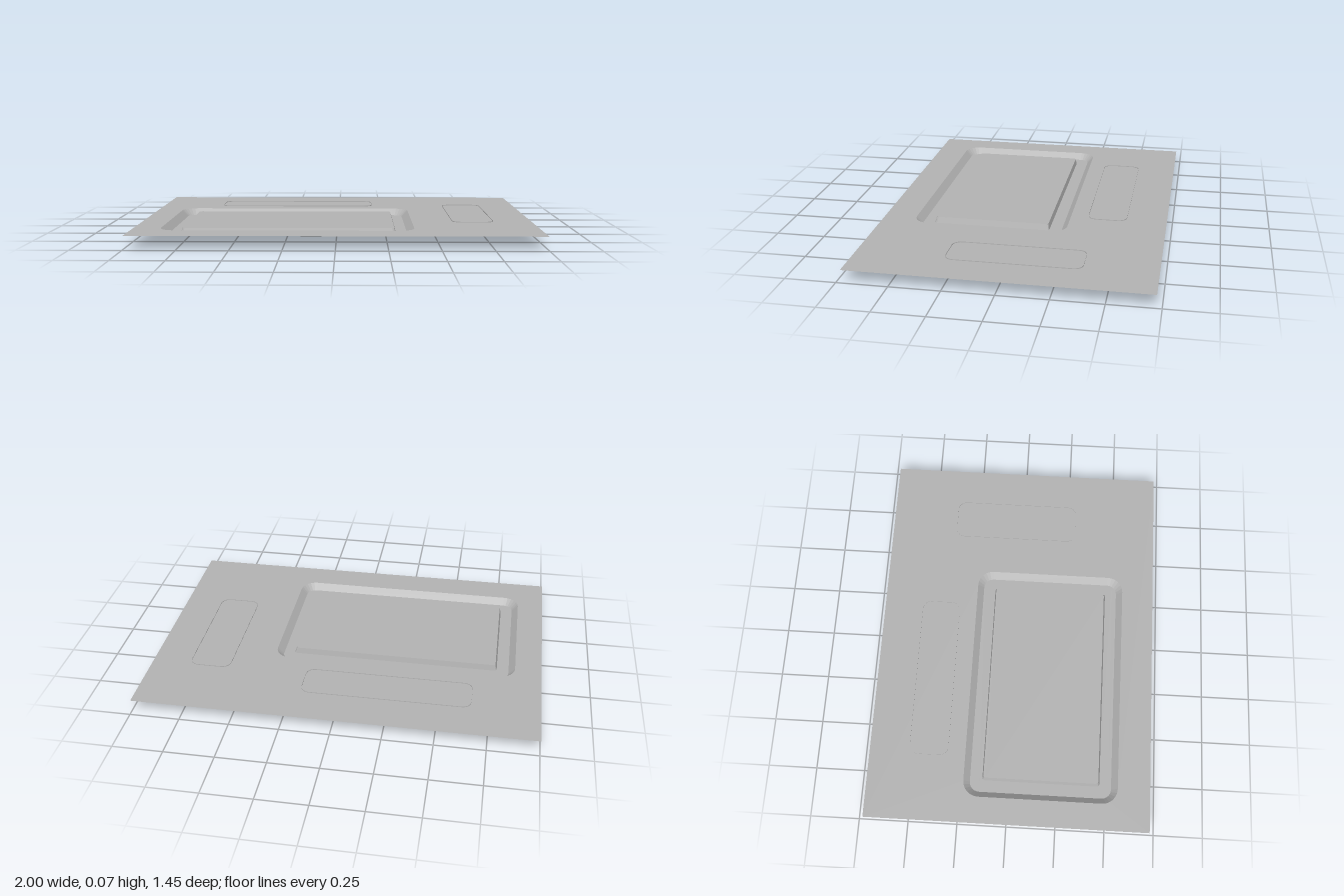
import * as THREE from 'three';

const SHEET_Y = 0.066;

const grey = new THREE.MeshStandardMaterial({ color: 0xb2b2b2, side: THREE.DoubleSide, flatShading: true });
grey.name = 'panelGrey';

// Rounded rectangle as Vector2 points in the ground plane (x, z)
function roundedRect(x0, x1, z0, z1, r, segments = 6) {
  const centres = [[x1 - r, z1 - r], [x0 + r, z1 - r], [x0 + r, z0 + r], [x1 - r, z0 + r]];
  const points = [];
  centres.forEach(([cx, cz], corner) => {
    for (let i = 0; i <= segments; i++) {
      const a = (corner + i / segments) * Math.PI / 2;
      points.push(new THREE.Vector2(cx + r * Math.cos(a), cz + r * Math.sin(a)));
    }
  });
  return points;
}

function rect(x0, x1, z0, z1) {
  return [[x1, z1], [x0, z1], [x0, z0], [x1, z0]].map(([x, z]) => new THREE.Vector2(x, z));
}

// Walls joining stacked loops, listed from low to high
function walls(levels) {
  const pos = [];
  for (let l = 0; l < levels.length - 1; l++) {
    const [low, yLow] = levels[l], [high, yHigh] = levels[l + 1];
    for (let i = 0; i < low.length; i++) {
      const j = (i + 1) % low.length;
      const a = [low[i].x, yLow, low[i].y], b = [low[j].x, yLow, low[j].y];
      const c = [high[j].x, yHigh, high[j].y], d = [high[i].x, yHigh, high[i].y];
      pos.push(...a, ...d, ...c, ...a, ...c, ...b);
    }
  }
  const geo = new THREE.BufferGeometry();
  geo.setAttribute('position', new THREE.Float32BufferAttribute(pos, 3));
  geo.computeVertexNormals();
  return geo;
}

// Flat horizontal sheet, facing down unless faceUp is set
function sheet(outline, y, holes = [], faceUp = true) {
  const shape = new THREE.Shape(outline);
  shape.holes = holes.map((h) => new THREE.Path(h));
  const geo = new THREE.ShapeGeometry(shape);
  geo.rotateX(Math.PI / 2).translate(0, y, 0);
  if (faceUp) {
    geo.index.array.reverse();
    geo.computeVertexNormals();
  }
  return geo;
}

function add(parent, name, geo) {
  const mesh = new THREE.Mesh(geo, grey);
  mesh.name = name;
  parent.add(mesh);
  return mesh;
}

// Shallow box hung under the sheet, chamfered at its lower edge
function underBox(parent, name, x0, x1, z0, z1, slots = []) {
  const group = new THREE.Group();
  group.name = name;
  const outer = roundedRect(x0, x1, z0, z1, 0.045);
  const c = 0.024;
  const inner = roundedRect(x0 + c, x1 - c, z0 + c, z1 - c, 0.03);
  add(group, 'boxWall', walls([[inner, 0.019], [outer, 0.038], [outer, 0.07]]));
  add(group, 'boxBottom', sheet(inner, 0.019, slots, false));
  for (const slot of slots) {
    add(group, 'slotWall', walls([[slot, 0.019], [slot, 0.05]]));
    add(group, 'slotEnd', sheet(slot, 0.05, [], false));
  }
  parent.add(group);
  return group;
}

export function createModel() {
  const model = new THREE.Group();
  model.name = 'recessedPanel';

  // Main sheet with the tray opening
  const rim = roundedRect(-0.865, 0.385, -0.23, 0.56, 0.08);
  add(model, 'panelSheet', sheet(rect(-1, 1, -0.725, 0.725), SHEET_Y, [rim]));

  // Sloped tray with a raised platform, hollow underneath
  const tray = new THREE.Group();
  tray.name = 'tray';
  const floorEdge = roundedRect(-0.833, 0.353, -0.198, 0.528, 0.05);
  const foot = roundedRect(-0.772, 0.298, -0.135, 0.468, 0.012, 2);
  const top = roundedRect(-0.764, 0.288, -0.129, 0.46, 0.012, 2);
  add(tray, 'traySlope', walls([[floorEdge, 0.033], [rim, SHEET_Y]]));
  add(tray, 'trayFloor', sheet(floorEdge, 0.033, [foot]));
  add(tray, 'platformWall', walls([[foot, 0.033], [top, 0.063]]));
  add(tray, 'platformTop', sheet(top, 0.063));
  model.add(tray);

  // Rear box with four narrow slots in its underside
  const slots = [0.09, -0.06, -0.215, -0.37].map((x) => rect(x - 0.022, x + 0.022, -0.465, -0.375));
  underBox(model, 'rearBox', -0.66, 0.19, -0.52, -0.32, slots);

  // Side box with three ribbed sockets underneath
  const sideBox = underBox(model, 'sideBox', 0.593, 0.803, -0.372, 0.288);
  for (const z of [0.173, 0.032, -0.107]) {
    const socket = new THREE.Group();
    socket.name = 'socket';
    const outer = rect(0.638, 0.758, z - 0.063, z + 0.063);
    const inner = rect(0.648, 0.748, z - 0.053, z + 0.053);
    add(socket, 'socketOuterWall', walls([[outer, 0], [outer, 0.019]]));
    add(socket, 'socketInnerWall', walls([[inner, 0], [inner, 0.019]]));
    add(socket, 'socketRim', sheet(outer, 0, [inner], false));
    for (let i = -2; i <= 2; i++) {
      const rib = add(socket, 'socketRib', new THREE.BoxGeometry(0.1, 0.014, 0.006));
      rib.position.set(0.698, 0.012, z + i * 0.018);
    }
    sideBox.add(socket);
  }
  return model;
}
